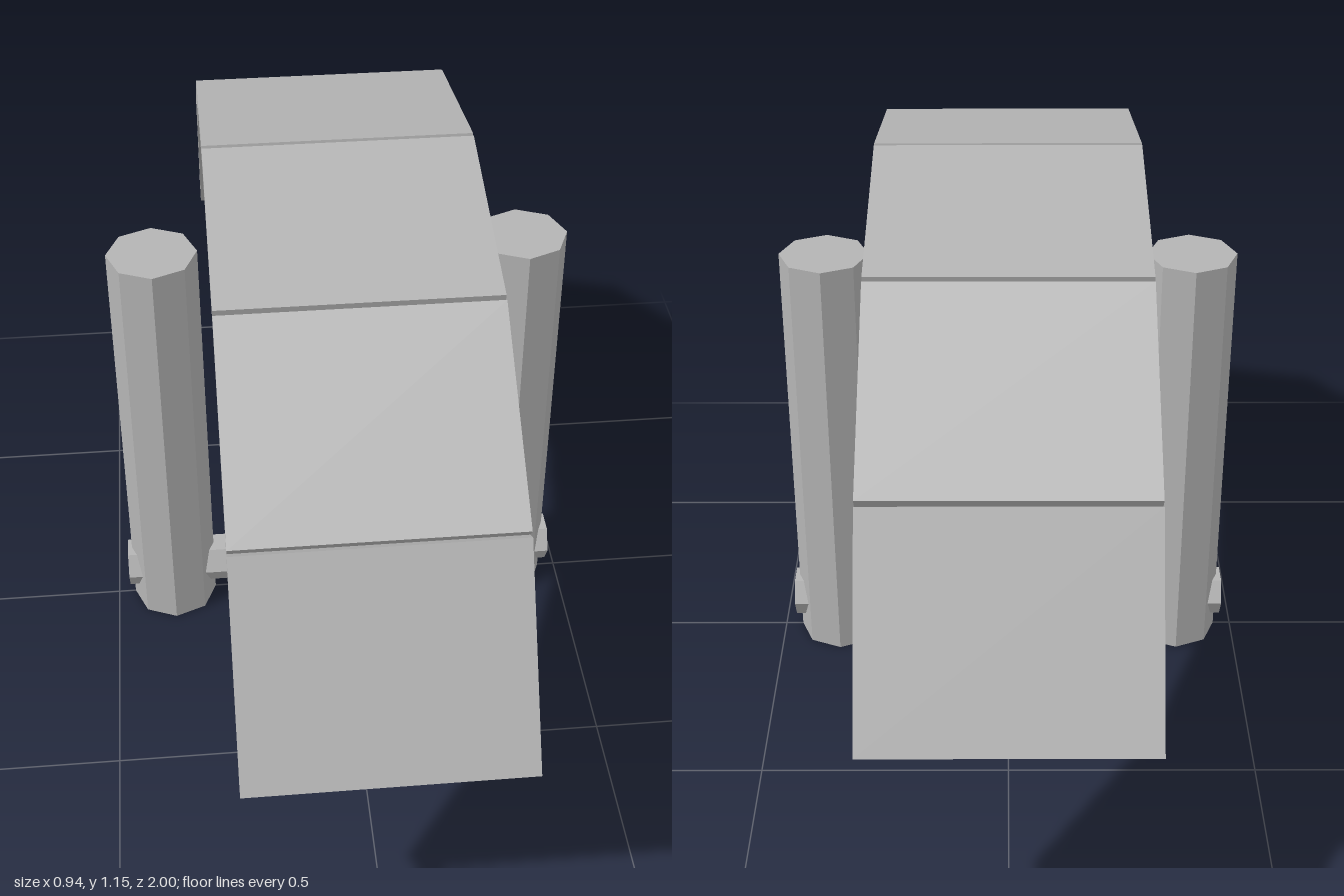
import * as THREE from 'three';

export function createModel() {
  const group = new THREE.Group();
  const grey = new THREE.MeshStandardMaterial({ color: 0xb4b4b4, flatShading: true });
  grey.name = 'plainGrey';

  const add = (name, geometry, x, y, z) => {
    const mesh = new THREE.Mesh(geometry, grey);
    mesh.name = name;
    mesh.position.set(x, y, z);
    group.add(mesh);
    return mesh;
  };

  const axleY = 0.089;

  // Curved guard: flat panels spanning the chords of an arc around the axle
  const panels = 6, sweep = THREE.MathUtils.degToRad(140), radius = 1.041;
  const step = sweep / panels;
  const chord = 2 * radius * Math.sin(step / 2);
  const mid = radius * Math.cos(step / 2);
  const panelGeometry = new THREE.BoxGeometry(0.524, 0.05, chord);
  for (let i = 0; i < panels; i++) {
    const a = -sweep / 2 + (i + 0.5) * step;
    const panel = add('guardPanel' + (i + 1), panelGeometry, 0, axleY + mid * Math.cos(a), mid * Math.sin(a));
    panel.rotation.x = a;
  }

  // Eight-sided upright legs on either side
  const legHeight = 0.919;
  const legGeometry = new THREE.CylinderGeometry(0.091, 0.091, legHeight, 8);
  add('leftLeg', legGeometry, 0.372, legHeight / 2, 0);
  add('rightLeg', legGeometry, -0.372, legHeight / 2, 0);

  // Six-sided axle passing through both legs
  const axle = add('axle', new THREE.CylinderGeometry(0.051, 0.051, 0.944, 6), 0, axleY, 0);
  axle.rotation.z = Math.PI / 2;

  return group;
}
